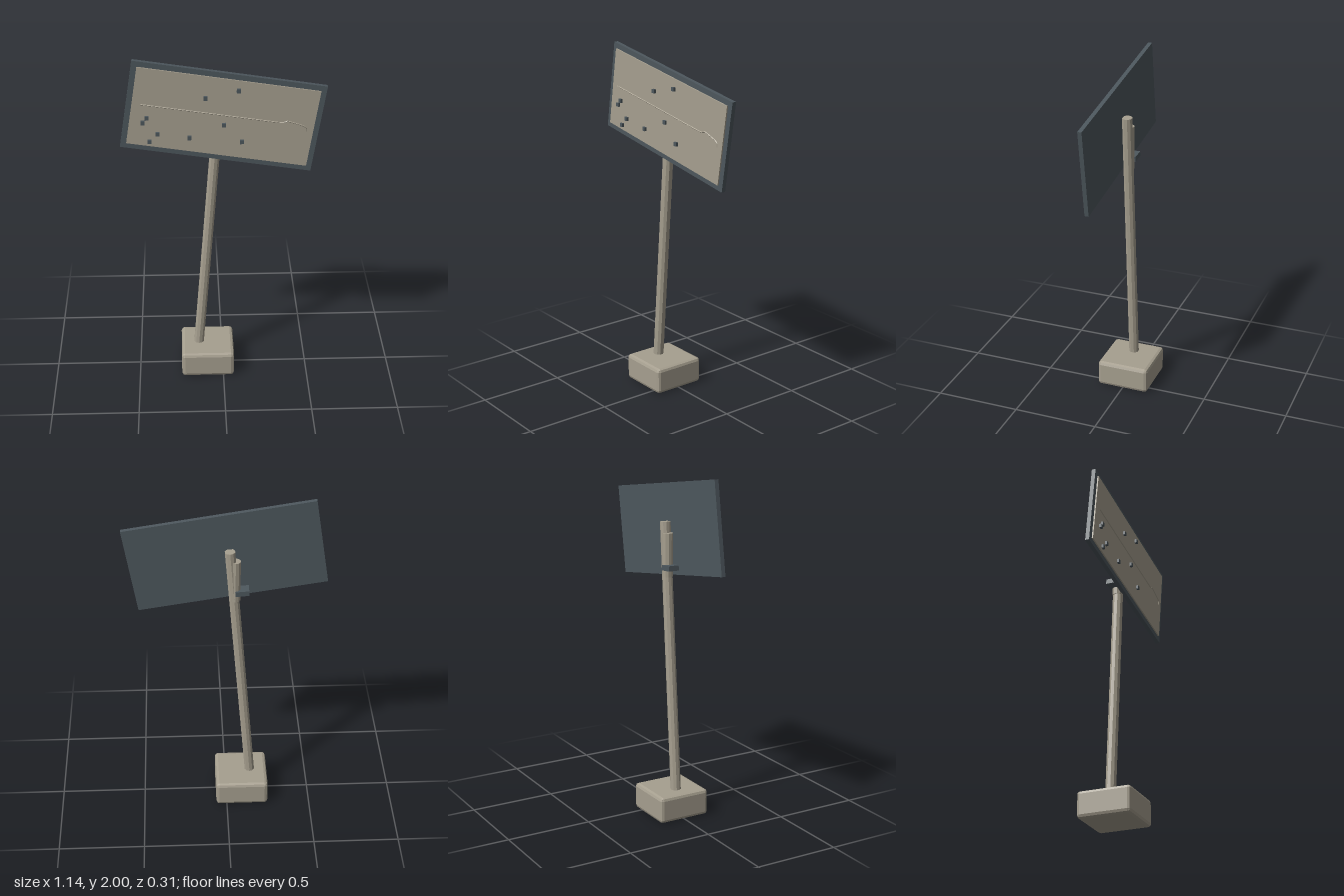
import * as THREE from 'three';
import { RoundedBoxGeometry } from 'three/addons/geometries/RoundedBoxGeometry.js';

export function createModel() {
  const model = new THREE.Group();
  model.name = 'leaningSign';

  const stone = new THREE.MeshStandardMaterial({ name: 'weatheredBeige', color: 0xa69f8f, flatShading: true });
  const slate = new THREE.MeshStandardMaterial({ name: 'darkSlate', color: 0x4d575d, flatShading: true });

  const add = (parent, name, geometry, material, x = 0, y = 0, z = 0) => {
    const mesh = new THREE.Mesh(geometry, material);
    mesh.name = name;
    mesh.position.set(x, y, z);
    parent.add(mesh);
    return mesh;
  };
  const box = (w, h, d) => new THREE.BoxGeometry(w, h, d);

  // Round bar between two points in the plane of the sign
  const bar = (name, [x1, y1], [x2, y2], radius, z = 0) => {
    const length = Math.hypot(x2 - x1, y2 - y1);
    const mesh = add(model, name, new THREE.CylinderGeometry(radius, radius, length, 10), stone,
      (x1 + x2) / 2, (y1 + y2) / 2, z);
    mesh.rotation.z = -Math.atan2(x2 - x1, y2 - y1);
    return mesh;
  };

  // Chamfered foot
  add(model, 'base', new RoundedBoxGeometry(0.312, 0.154, 0.314, 1, 0.019), stone, -0.092, 0.077, 0);

  // Leaning post with a bent splice behind the board
  bar('post', [-0.145, 0.13], [-0.022, 1.71], 0.03);
  bar('splice', [-0.051, 1.4], [-0.053, 1.65], 0.03, -0.002);

  // Tilted board, face and thin line across the face
  const sign = new THREE.Group();
  sign.name = 'sign';
  sign.position.set(0, 1.662, 0);
  sign.rotation.z = -0.1555;
  model.add(sign);
  add(sign, 'board', box(1.072, 0.516, 0.024), slate, 0, 0, 0.037);
  add(sign, 'face', box(1.01, 0.455, 0.008), stone, 0, 0, 0.053);

  const path = new THREE.CurvePath();
  const points = [[-0.455, 0.015], [0.31, 0.015], [0.335, 0.018], [0.355, 0.03],
    [0.395, 0.023], [0.44, 0.015], [0.463, 0.005], [0.468, -0.018]]
    .map(([x, y]) => new THREE.Vector3(x, y, 0.059));
  for (let i = 1; i < points.length; i++) path.add(new THREE.LineCurve3(points[i - 1], points[i]));
  add(sign, 'faceLine', new THREE.TubeGeometry(path, 90, 0.0035, 4), stone);

  // Small square studs on the face
  const studs = [[-0.44, 1.64], [-0.417, 1.667], [-0.36, 1.57], [-0.406, 1.525], [-0.185, 1.545],
    [-0.095, 1.78], [0.085, 1.822], [0.005, 1.62], [0.105, 1.516]];
  for (const [x, y] of studs) add(model, 'stud', box(0.022, 0.022, 0.014), slate, x, y, 0.063);

  // Clamp holding the board to the post
  const clamp = add(model, 'clamp', box(0.078, 0.03, 0.064), slate, -0.09, 1.458, -0.007);
  clamp.rotation.z = -0.08;

  return model;
}
